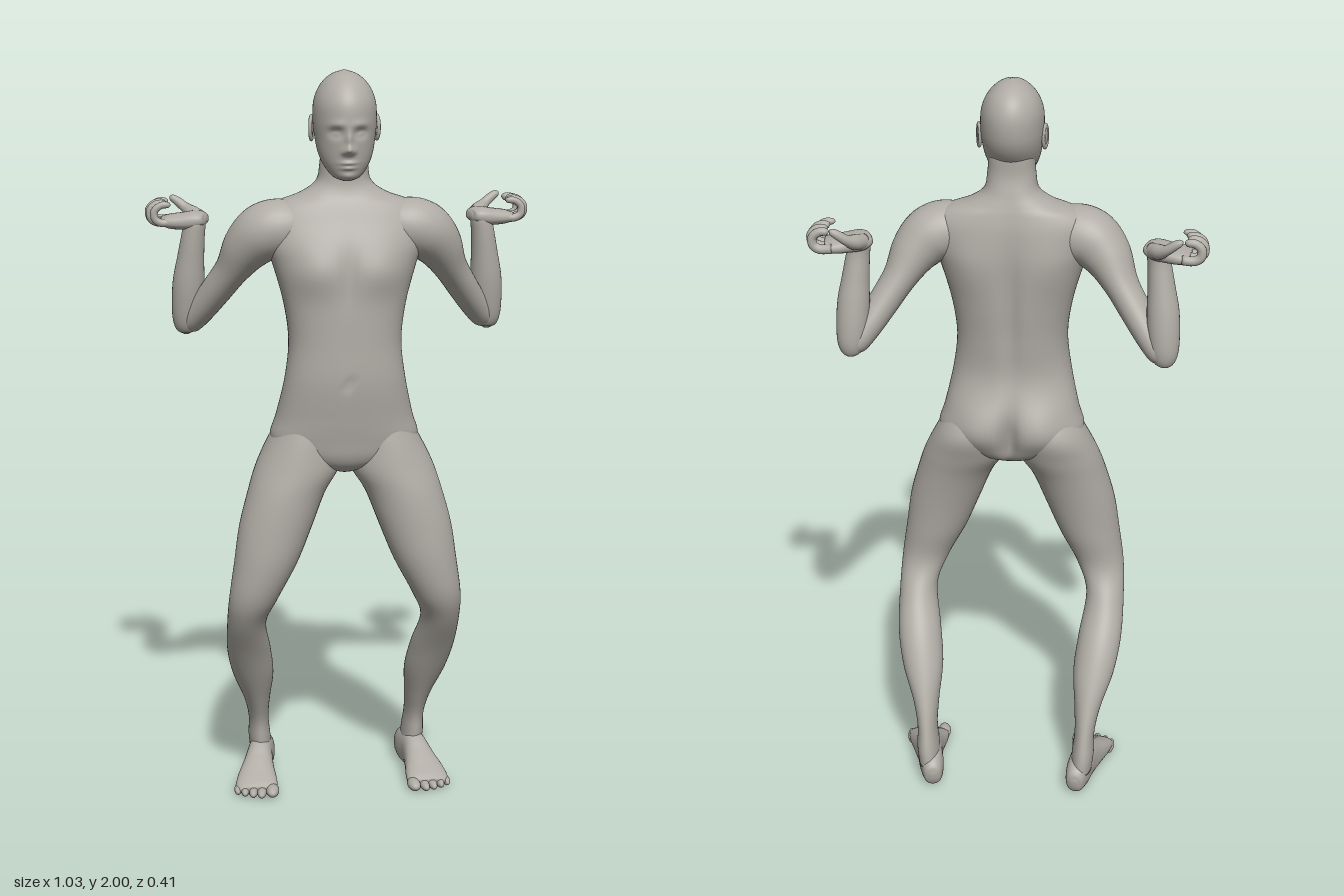
import * as THREE from 'three';

const skin = new THREE.MeshStandardMaterial({ color: 0xb0aca5 });
skin.name = 'warm grey';

// Smooth loft through rows [x, y, z, radiusA, radiusB].
// flat: rings stay horizontal; otherwise they follow the path, radiusA lying along `side`.
function loft(name, rows, { flat = false, side = [0, 0, 1], n = 2, seg = 32, steps = 6, bend } = {}) {
  const path = new THREE.CatmullRomCurve3(rows.map(r => new THREE.Vector3(r[0], r[1], r[2])), false, 'catmullrom');
  const size = new THREE.CatmullRomCurve3(rows.map(r => new THREE.Vector3(r[3], r[4] ?? r[3], 0)), false, 'catmullrom');
  const count = (rows.length - 1) * steps;
  const pos = [], idx = [];
  const power = c => Math.sign(c) * Math.abs(c) ** (2 / n);
  const push = p => { if (bend) bend(p); pos.push(p.x, p.y, p.z); };
  for (let i = 0; i <= count; i++) {
    const c = path.getPoint(i / count), r = size.getPoint(i / count);
    const t = path.getTangent(i / count);
    if (flat) t.set(0, Math.sign(t.y), 0);
    const u = new THREE.Vector3(...(flat ? [1, 0, 0] : side));
    u.addScaledVector(t, -u.dot(t)).normalize();
    const v = new THREE.Vector3().crossVectors(t, u);
    for (let j = 0; j < seg; j++) {
      const a = (j / seg) * Math.PI * 2;
      push(c.clone()
        .addScaledVector(u, power(Math.cos(a)) * Math.max(r.x, 0.001))
        .addScaledVector(v, power(Math.sin(a)) * Math.max(r.y, 0.001)));
    }
  }
  for (let i = 0; i < count; i++) for (let j = 0; j < seg; j++) {
    const k = (j + 1) % seg, a = i * seg + j, b = i * seg + k;
    idx.push(a, b, b + seg, a, b + seg, a + seg);
  }
  // End caps
  const first = pos.length / 3, last = first + 1, top = count * seg;
  push(path.getPoint(0));
  push(path.getPoint(1));
  for (let j = 0; j < seg; j++) {
    const k = (j + 1) % seg;
    idx.push(first, k, j, last, top + j, top + k);
  }
  const geo = new THREE.BufferGeometry();
  geo.setAttribute('position', new THREE.Float32BufferAttribute(pos, 3));
  geo.setIndex(idx);
  geo.computeVertexNormals();
  const mesh = new THREE.Mesh(geo, skin);
  mesh.name = name;
  return mesh;
}

// Soft bump in the x/y plane, mirrored across the middle
const bump = (p, x, y, sx, sy) =>
  Math.exp(-(((Math.abs(p.x) - x) / sx) ** 2) - ((p.y - y) / sy) ** 2);

// Horizontal section [x, y, radiusX, zFront, zBack] to a loft row
const slab = ([x, y, rx, zf, zb]) => [x, y, (zf + zb) / 2, rx, (zf - zb) / 2];

function torso() {
  const rows = [
    [0, 0.945, 0.03, 0.11, 0.01], [0, 0.965, 0.1, 0.145, -0.015], [0, 0.995, 0.17, 0.163, -0.03],
    [0, 1.04, 0.198, 0.172, -0.042], [0, 1.1, 0.182, 0.182, -0.04], [0, 1.2, 0.16, 0.195, -0.015],
    [0, 1.3, 0.149, 0.195, -0.02], [0, 1.4, 0.161, 0.193, -0.03], [0, 1.5, 0.188, 0.186, -0.035],
    [0, 1.56, 0.21, 0.176, -0.035], [0, 1.62, 0.215, 0.152, -0.03], [0, 1.66, 0.18, 0.135, -0.022],
    [0, 1.685, 0.115, 0.122, -0.015], [0, 1.715, 0.073, 0.115, -0.006], [0, 1.76, 0.063, 0.115, 0.005],
    [0, 1.81, 0.06, 0.115, 0.005],
  ].map(slab);
  return loft('torso', rows, {
    flat: true, n: 2.25, seg: 80, steps: 6,
    bend(p) {
      if (p.z > 0.08) {
        p.z += 0.016 * bump(p, 0.085, 1.49, 0.07, 0.055);   // chest
        p.z -= 0.006 * bump(p, 0, 1.48, 0.014, 0.08);       // breastbone
        p.z -= 0.004 * bump(p, 0, 1.3, 0.012, 0.12);        // belly line
        p.z -= 0.008 * bump(p, 0, 1.2, 0.009, 0.012);       // navel
      } else if (p.z < 0.04) {
        p.z += 0.016 * bump(p, 0, 1.4, 0.025, 0.2);         // spine groove
        p.z -= 0.02 * bump(p, 0.085, 1.05, 0.065, 0.07);    // buttocks
        p.z += 0.03 * bump(p, 0, 1.03, 0.018, 0.07);        // cleft
        p.z -= 0.01 * bump(p, 0.11, 1.52, 0.06, 0.08);      // shoulder blades
      }
    },
  });
}

function head() {
  const rows = [
    [0, 1.724, 0.012, 0.15, 0.11], [0, 1.734, 0.036, 0.165, 0.085], [0, 1.76, 0.057, 0.174, 0.045],
    [0, 1.79, 0.07, 0.179, 0.015], [0, 1.83, 0.078, 0.184, -0.015], [0, 1.87, 0.082, 0.189, -0.029],
    [0, 1.92, 0.08, 0.185, -0.03], [0, 1.96, 0.064, 0.162, -0.013], [0, 1.988, 0.036, 0.126, 0.022],
    [0, 2.0, 0.004, 0.08, 0.07],
  ].map(slab);
  return loft('head', rows, {
    flat: true, seg: 112, steps: 9,
    bend(p) {
      if (p.z < 0.1) return;
      p.z += 0.02 * bump(p, 0, 1.805, 0.012, 0.011) + 0.01 * bump(p, 0, 1.83, 0.009, 0.022);  // nose
      p.z += 0.005 * bump(p, 0.013, 1.8, 0.007, 0.007);                                       // nostrils
      p.z -= 0.013 * bump(p, 0.032, 1.848, 0.017, 0.012);                                     // eye sockets
      p.z += 0.007 * bump(p, 0.032, 1.846, 0.011, 0.007);                                     // eyelids
      p.z += 0.004 * bump(p, 0.03, 1.87, 0.022, 0.009);                                       // brows
      p.z += 0.007 * (bump(p, 0, 1.772, 0.02, 0.005) + bump(p, 0, 1.759, 0.018, 0.005));      // lips
      p.z += 0.006 * bump(p, 0, 1.738, 0.018, 0.01);                                          // chin
    },
  });
}

function ear(s) {
  const g = new THREE.Group();
  g.name = 'ear';
  const rim = new THREE.Mesh(new THREE.TorusGeometry(0.017, 0.005, 10, 28), skin);
  rim.name = 'earRim';
  rim.scale.set(0.8, 1.6, 1);
  const bowl = new THREE.Mesh(new THREE.SphereGeometry(0.017, 20, 12), skin);
  bowl.name = 'earBowl';
  bowl.scale.set(0.8, 1.5, 0.3);
  g.add(rim, bowl);
  g.position.set(s * 0.085, 1.853, 0.068);
  g.rotation.set(0, s * (Math.PI / 2 + 0.3), 0);
  return g;
}

function arm(s) {
  const g = new THREE.Group();
  g.name = s > 0 ? 'leftArm' : 'rightArm';
  const part = (name, rows, opt) => g.add(loft(name, rows.map(([x, ...r]) => [x * s, ...r]), opt));
  part('upperArm', [
    [0.1, 1.595, 0.07, 0.055, 0.05], [0.15, 1.597, 0.068, 0.075, 0.073], [0.205, 1.585, 0.06, 0.08, 0.077],
    [0.25, 1.545, 0.04, 0.071, 0.066], [0.29, 1.48, 0.008, 0.058, 0.046], [0.33, 1.42, -0.025, 0.05, 0.041],
    [0.37, 1.362, -0.06, 0.043, 0.037], [0.4, 1.322, -0.084, 0.033, 0.031], [0.412, 1.303, -0.093, 0.012, 0.012],
  ]);
  part('forearm', [
    [0.41, 1.291, -0.088, 0.008], [0.41, 1.302, -0.088, 0.026], [0.409, 1.33, -0.084, 0.037],
    [0.406, 1.38, -0.077, 0.042], [0.402, 1.44, -0.068, 0.042], [0.396, 1.5, -0.06, 0.038, 0.036],
    [0.389, 1.56, -0.053, 0.034, 0.031], [0.383, 1.6, -0.052, 0.032, 0.028], [0.382, 1.615, -0.052, 0.02],
  ]);
  part('palm', [
    [0.352, 1.607, -0.05, 0.012, 0.006], [0.358, 1.606, -0.052, 0.032, 0.016], [0.38, 1.603, -0.058, 0.042, 0.024],
    [0.415, 1.599, -0.068, 0.046, 0.022], [0.45, 1.598, -0.079, 0.048, 0.018], [0.47, 1.6, -0.082, 0.04, 0.01],
  ], { n: 2.4 });
  // Curled fingers
  for (let i = 0; i < 4; i++) {
    const z = -0.119 + i * 0.026, d = [-0.004, 0.003, 0.001, -0.008][i], r = i === 3 ? 0.0105 : 0.0125;
    part('finger', [
      [0.445, 1.599, z, r], [0.478 + d, 1.597, z, r], [0.496 + d, 1.607, z, r], [0.498 + d, 1.628, z, r * 0.95],
      [0.482 + d, 1.643, z, r * 0.9], [0.462 + d, 1.645, z, r * 0.75], [0.455 + d, 1.645, z, 0.002],
    ], { seg: 14, steps: 4 });
  }
  part('thumb', [
    [0.37, 1.606, -0.075, 0.02], [0.388, 1.614, -0.105, 0.02], [0.405, 1.626, -0.126, 0.014],
    [0.425, 1.642, -0.135, 0.012], [0.44, 1.652, -0.138, 0.009], [0.446, 1.656, -0.138, 0.002],
  ], { side: [0, 1, 0], seg: 16 });
  return g;
}

function leg(s) {
  const g = new THREE.Group();
  g.name = s > 0 ? 'leftLeg' : 'rightLeg';
  const flip = rows => rows.map(([x, ...r]) => [x * s, ...r]);
  g.add(loft('legShape', flip([
    [0.095, 1.1, 0.07, 0.15, -0.02], [0.11, 1.03, 0.095, 0.165, -0.045], [0.126, 0.96, 0.113, 0.176, -0.028],
    [0.158, 0.89, 0.104, 0.184, -0.005], [0.188, 0.8, 0.098, 0.188, 0.015], [0.216, 0.7, 0.085, 0.187, 0.03],
    [0.249, 0.6, 0.066, 0.17, 0.04], [0.266, 0.52, 0.053, 0.13, 0.0], [0.257, 0.42, 0.06, 0.065, -0.07],
    [0.243, 0.33, 0.057, 0.014, -0.118], [0.23, 0.24, 0.037, -0.036, -0.155], [0.224, 0.17, 0.028, -0.068, -0.178],
    [0.221, 0.11, 0.031, -0.075, -0.194], [0.217, 0.06, 0.03, -0.08, -0.198],
  ]).map(slab), { flat: true, seg: 40 }));
  g.add(loft('foot', flip([
    [0.2, 0.04, -0.207, 0.008, 0.012], [0.202, 0.042, -0.196, 0.025, 0.036], [0.21, 0.05, -0.155, 0.034, 0.052],
    [0.222, 0.054, -0.1, 0.036, 0.056], [0.231, 0.042, -0.05, 0.044, 0.044], [0.238, 0.029, 0.0, 0.055, 0.031],
    [0.242, 0.02, 0.04, 0.058, 0.02], [0.243, 0.016, 0.06, 0.045, 0.012],
  ]), { side: [1, 0, 0], n: 2.3, bend: p => { p.y = Math.max(p.y, 0); } }));
  // Toes, from the big one outward
  for (let i = 0; i < 5; i++) {
    const toe = new THREE.Mesh(new THREE.SphereGeometry(1, 18, 12), skin);
    toe.name = 'toe';
    const r = i ? 0.0135 - i * 0.0006 : 0.018;
    toe.scale.set(r, i ? 0.013 : 0.016, 0.032);
    toe.position.set(s * [0.199, 0.229, 0.252, 0.274, 0.293][i], i ? 0.014 : 0.017, [0.063, 0.064, 0.057, 0.046, 0.032][i]);
    toe.rotation.y = s * 0.12;
    g.add(toe);
  }
  return g;
}

export function createModel() {
  const model = new THREE.Group();
  model.name = 'standingFigure';
  model.add(torso(), head());
  for (const s of [1, -1]) model.add(ear(s), arm(s), leg(s));
  return model;
}
